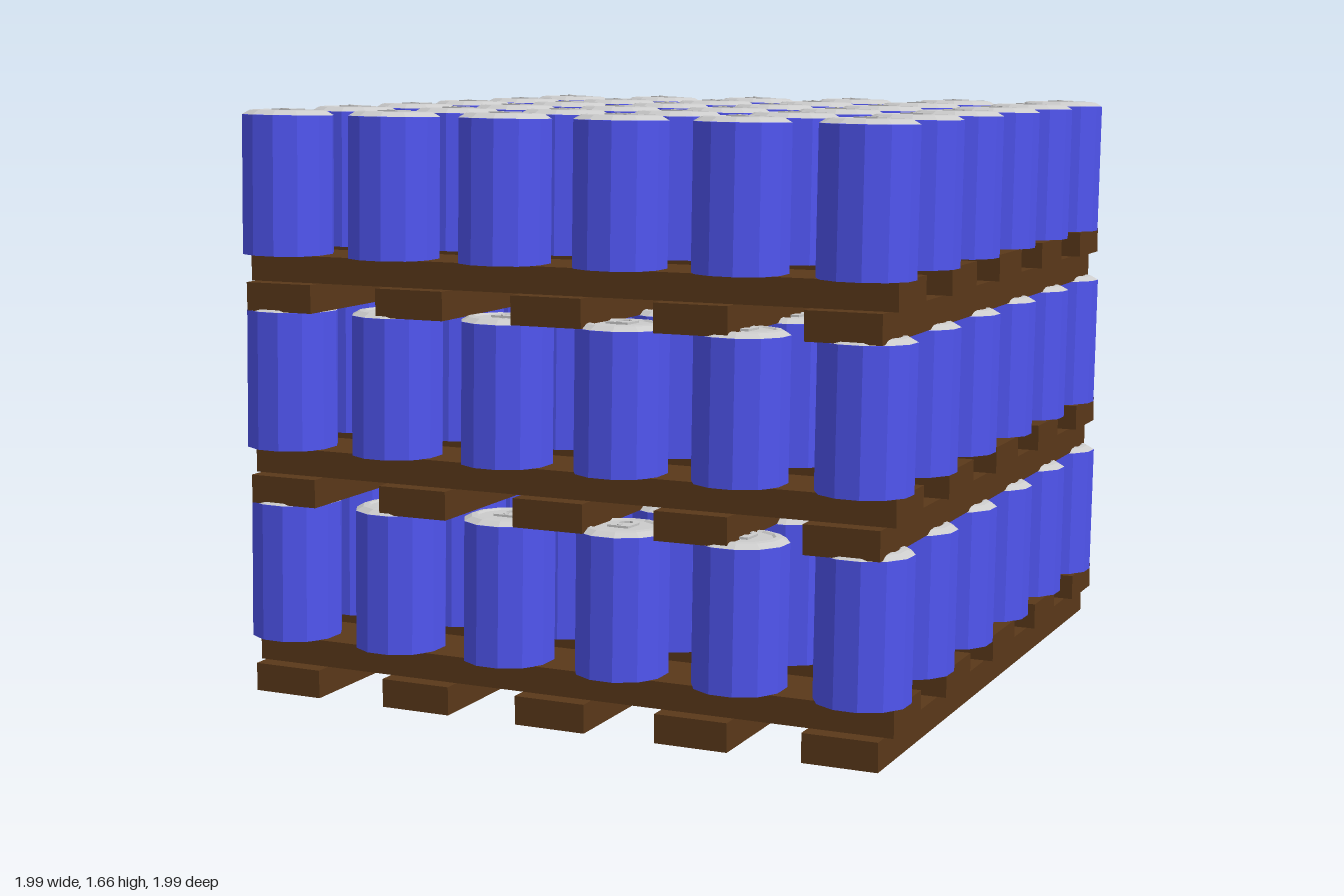
import * as THREE from 'three';

const mat = (color) => new THREE.MeshStandardMaterial({ color, flatShading: true });

export function createModel() {
  const model = new THREE.Group();
  const wood = mat(0x5a3819);
  const blue = mat(0x5055f0);
  const grey = mat(0xcccccc);

  // Shared geometries
  const R = 0.129, H = 0.39, SIDES = 12;
  const runnerGeo = new THREE.BoxGeometry(0.21, 0.08, 1.925);
  const boardGeo = new THREE.BoxGeometry(1.93, 0.075, 0.21);
  const bodyGeo = new THREE.CylinderGeometry(R, R, H, SIDES).rotateY(Math.PI / SIDES);
  const lidGeo = new THREE.LatheGeometry([
    new THREE.Vector2(R, 0),
    new THREE.Vector2(0.108, 0.012),
    new THREE.Vector2(0.092, 0.014),
    new THREE.Vector2(0.086, 0.009),
    new THREE.Vector2(0, 0.009),
  ], SIDES).rotateY(Math.PI / SIDES);

  // Arched pull tab with a finger hole
  const tabShape = new THREE.Shape();
  tabShape.moveTo(-0.032, -0.035);
  tabShape.lineTo(0.032, -0.035);
  tabShape.lineTo(0.034, 0.025);
  tabShape.quadraticCurveTo(0.03, 0.055, 0, 0.057);
  tabShape.quadraticCurveTo(-0.03, 0.055, -0.034, 0.025);
  const hole = new THREE.Path();
  hole.absellipse(0, 0.018, 0.019, 0.022, 0, Math.PI * 2, true);
  tabShape.holes.push(hole);
  const tabGeo = new THREE.ExtrudeGeometry(tabShape, { depth: 0.006, bevelEnabled: false, curveSegments: 4 });
  tabGeo.rotateX(-Math.PI / 2);

  const add = (parent, name, geo, material, x, y, z) => {
    const mesh = new THREE.Mesh(geo, material);
    mesh.name = name;
    mesh.position.set(x, y, z);
    parent.add(mesh);
    return mesh;
  };

  // Pallet: runners along z, deck boards along x
  function makePallet() {
    const pallet = new THREE.Group();
    pallet.name = 'pallet';
    for (let i = 0; i < 5; i++) {
      const c = (i - 2) * 0.42;
      add(pallet, 'runner', runnerGeo, wood, c + 0.005, 0.04, 0.015);
      add(pallet, 'deckBoard', boardGeo, wood, 0.01, 0.1175, c - 0.015);
    }
    return pallet;
  }

  // Can with a very slight lean
  function makeCan() {
    const can = new THREE.Group();
    can.name = 'can';
    add(can, 'canBody', bodyGeo, blue, 0, 0, 0);
    add(can, 'canLid', lidGeo, grey, 0, H / 2 + 0.0005, 0);
    add(can, 'pullTab', tabGeo, grey, 0, H / 2 + 0.011, 0);
    const rivet = add(can, 'tabRivet', new THREE.CylinderGeometry(0.008, 0.008, 0.01, 6), grey, 0, H / 2 + 0.014, 0.022);
    rivet.rotation.y = 0.3;
    can.rotation.set(-0.022, 0, -0.008);
    return can;
  }

  // Three stacked layers of pallet and six by six cans
  for (let level = 0; level < 3; level++) {
    const layer = new THREE.Group();
    layer.name = 'layer';
    layer.position.y = level * 0.548;
    layer.add(makePallet());
    for (let i = 0; i < 6; i++) {
      for (let j = 0; j < 6; j++) {
        const can = makeCan();
        can.position.set((i - 2.5) * 0.347, 0.154 + H / 2, (j - 2.5) * 0.347);
        layer.add(can);
      }
    }
    model.add(layer);
  }
  return model;
}
